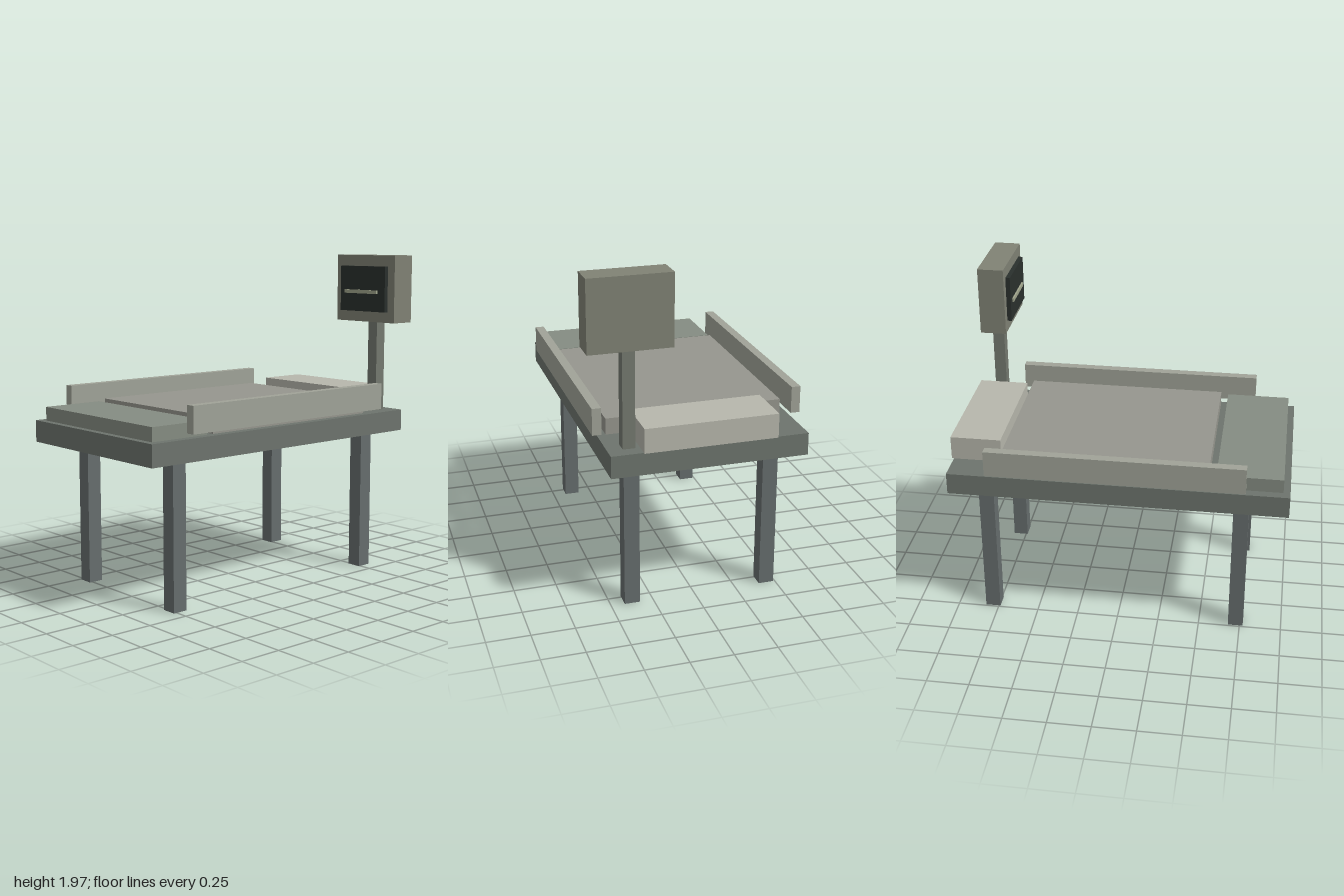
import * as THREE from 'three';

const material = (color) => new THREE.MeshStandardMaterial({ color, flatShading: true });

const frameMat = material(0x6d746d);
const legMat = material(0x666d6d);
const mattressMat = material(0x96968e);
const blanketMat = material(0x858c82);
const pillowMat = material(0xb7b7ac);
const railMat = material(0xa0a398);
const postMat = material(0x757a70);
const monitorMat = material(0x808275);
const screenMat = material(0x2a302d);
const traceMat = material(0xa0a58c);

// Box given by its extents along each axis
function block(name, mat, [x0, x1], [y0, y1], [z0, z1]) {
  const mesh = new THREE.Mesh(new THREE.BoxGeometry(x1 - x0, y1 - y0, z1 - z0), mat);
  mesh.position.set((x0 + x1) / 2, (y0 + y1) / 2, (z0 + z1) / 2);
  mesh.name = name;
  return mesh;
}

export function createModel() {
  const model = new THREE.Group();
  model.name = 'hospitalBed';

  // Bed frame and the padding lying on it
  model.add(
    block('bedFrame', frameMat, [-0.603, 0.532], [0.87, 1.0], [-0.987, 1.0]),
    block('mattress', mattressMat, [-0.55, 0.482], [1.0, 1.095], [-0.685, 0.533]),
    block('footBlanket', blanketMat, [-0.55, 0.482], [1.0, 1.082], [0.577, 0.96]),
    block('pillow', pillowMat, [-0.418, 0.349], [1.0, 1.142], [-1.0, -0.7])
  );

  // Four square legs
  for (const [side, x] of [['right', -0.49], ['left', 0.33]]) {
    for (const [end, z] of [['Front', 0.68], ['Back', -0.83]]) {
      model.add(block(`${side}${end}Leg`, legMat, [x, x + 0.09], [0, 0.87], [z, z + 0.09]));
    }
  }

  // Side rails floating just above the frame
  for (const [side, x] of [['right', -0.646], ['left', 0.521]]) {
    model.add(block(`${side}Rail`, railMat, [x, x + 0.053], [1.03, 1.187], [-0.75, 0.75]));
  }

  // Monitor on its post
  const monitor = new THREE.Group();
  monitor.name = 'monitor';
  monitor.add(
    block('monitorPost', postMat, [0.375, 0.446], [1.0, 1.56], [-0.912, -0.841]),
    block('monitorCase', monitorMat, [0.165, 0.64], [1.56, 1.97], [-0.934, -0.777]),
    block('screen', screenMat, [0.219, 0.586], [1.625, 1.903], [-0.777, -0.75]),
    block('screenTrace', traceMat, [0.258, 0.526], [1.735, 1.757], [-0.75, -0.74])
  );
  model.add(monitor);

  return model;
}
